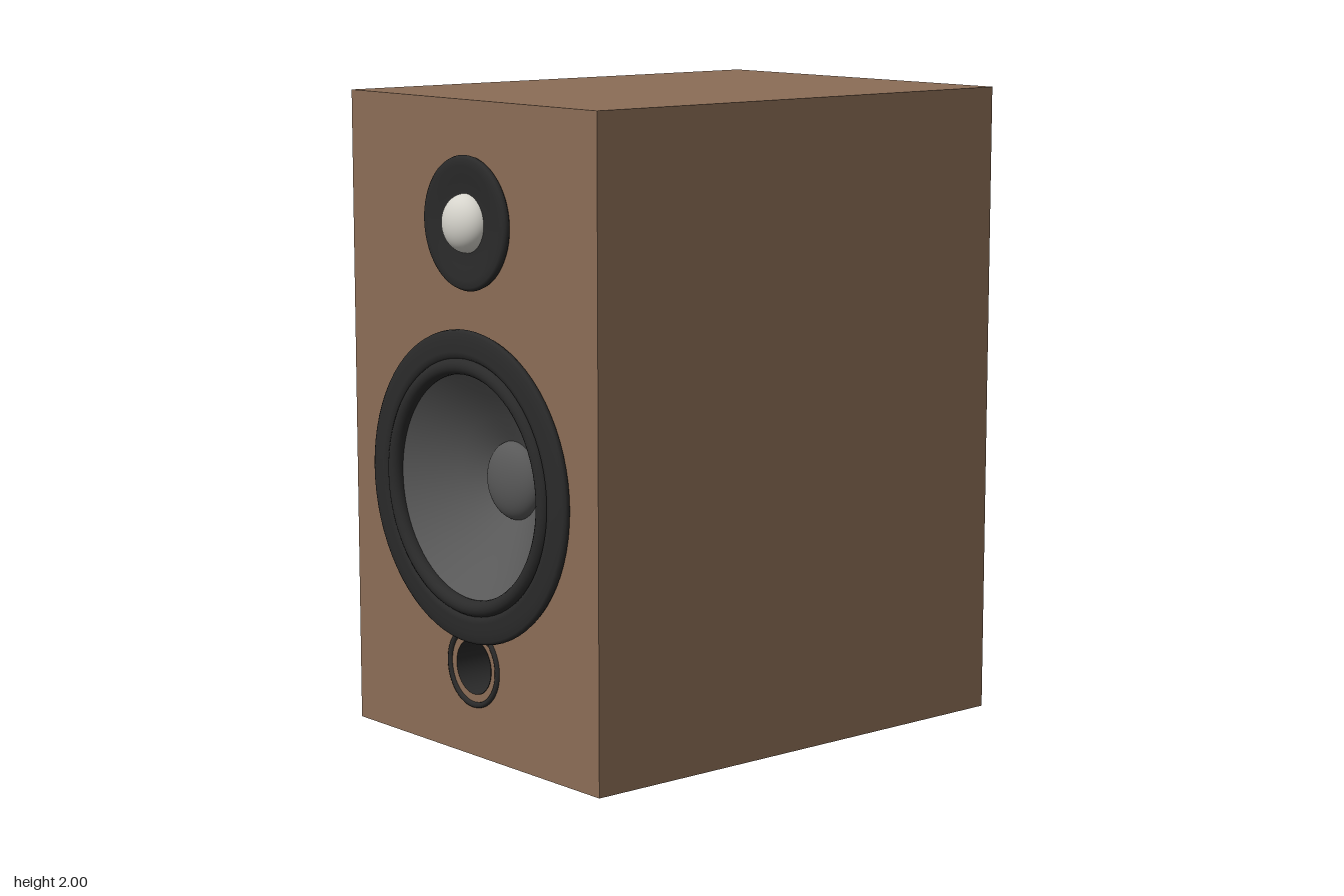
import * as THREE from 'three';

const mat = (name, color, side = THREE.FrontSide) => {
  const m = new THREE.MeshStandardMaterial({ color, side });
  m.name = name;
  return m;
};

export function createModel() {
  const wood = mat('walnut brown', 0x8b6d56);
  const black = mat('rubber black', 0x2a2a2a, THREE.DoubleSide);
  const grey = mat('cone grey', 0x595959, THREE.DoubleSide);
  const silver = mat('dome silver', 0xd6d4cc);

  const W = 0.59, BOTTOM = 0.03, TOP = 2, BACK = -0.825, FRONT = 0.753, T = 0.04;
  const WOOFER_Y = 0.853, TWEETER_Y = 1.64, PORT_Y = 0.305, PORT_R = 0.085;

  const model = new THREE.Group();
  model.name = 'bookshelfSpeaker';

  const add = (parent, name, geometry, material, x = 0, y = 0, z = 0) => {
    const mesh = new THREE.Mesh(geometry, material);
    mesh.name = name;
    mesh.position.set(x, y, z);
    parent.add(mesh);
    return mesh;
  };
  const lathe = (points, segments = 72) =>
    new THREE.LatheGeometry(points.map(([r, h]) => new THREE.Vector2(r, h)), segments);
  // Turned part whose axis points out of the front
  const turned = (points) => lathe(points).rotateX(Math.PI / 2);
  // Profile of a shallow dome, from rim to tip
  const domeProfile = (r, h) => Array.from({ length: 17 }, (_, i) => {
    const a = (i / 16) * Math.PI / 2;
    return [i === 16 ? 0 : r * Math.cos(a), h * Math.sin(a)];
  });

  // Cabinet: hollow shell of panels with a pierced front baffle
  const cabinet = new THREE.Group();
  cabinet.name = 'cabinet';
  model.add(cabinet);
  const baffle = new THREE.Shape([
    new THREE.Vector2(-W, BOTTOM), new THREE.Vector2(W, BOTTOM),
    new THREE.Vector2(W, TOP), new THREE.Vector2(-W, TOP),
  ]);
  for (const [y, r] of [[WOOFER_Y, 0.4], [PORT_Y, PORT_R]]) {
    baffle.holes.push(new THREE.Path().absarc(0, y, r, 0, Math.PI * 2, true));
  }
  add(cabinet, 'frontBaffle', new THREE.ExtrudeGeometry(baffle,
    { depth: T, bevelEnabled: false, curveSegments: 48 }), wood, 0, 0, FRONT - T);
  const depth = FRONT - T - BACK, midZ = BACK + depth / 2;
  const height = TOP - BOTTOM, midY = BOTTOM + height / 2;
  for (const s of [-1, 1]) {
    add(cabinet, s > 0 ? 'leftPanel' : 'rightPanel',
      new THREE.BoxGeometry(T, height, depth), wood, s * (W - T / 2), midY, midZ);
    add(cabinet, s > 0 ? 'topPanel' : 'bottomPanel',
      new THREE.BoxGeometry(2 * (W - T), T, depth), wood,
      0, midY + s * (height - T) / 2, midZ);
  }
  add(cabinet, 'backPanel', new THREE.BoxGeometry(2 * (W - T), height - 2 * T, T),
    wood, 0, midY, BACK + T / 2);

  // Woofer: frame, rolled surround, recessed cone and dust cap
  const woofer = new THREE.Group();
  woofer.name = 'woofer';
  woofer.position.set(0, WOOFER_Y, FRONT);
  model.add(woofer);
  add(woofer, 'wooferFrame', turned([
    [0.462, 0], [0.468, 0.005], [0.472, 0.013], [0.47, 0.021], [0.462, 0.026],
    [0.44, 0.029], [0.405, 0.031], [0.392, 0.029], [0.386, 0.022], [0.384, 0],
  ]), black);
  add(woofer, 'wooferSurround', new THREE.TorusGeometry(0.363, 0.025, 16, 72),
    black, 0, 0, 0.015);
  add(woofer, 'wooferCone', turned([
    [0.342, 0.01], [0.28, -0.045], [0.2, -0.107], [0.11, -0.165],
  ]), grey);
  add(woofer, 'dustCap', turned(domeProfile(0.12, 0.055)), grey, 0, 0, -0.162);

  // Tweeter: rounded faceplate and dome
  const tweeter = new THREE.Group();
  tweeter.name = 'tweeter';
  tweeter.position.set(0, TWEETER_Y, FRONT);
  model.add(tweeter);
  add(tweeter, 'tweeterPlate', turned([
    [0.192, 0], [0.198, 0.006], [0.2, 0.013], [0.197, 0.02], [0.19, 0.025],
    [0.17, 0.026], [0.13, 0.021], [0.09, 0.015], [0, 0.015],
  ]), black);
  add(tweeter, 'tweeterDome', turned(domeProfile(0.088, 0.063)), silver, 0, 0, 0.012);

  // Bass port: trim ring and open tube
  const port = new THREE.Group();
  port.name = 'bassPort';
  port.position.set(0, PORT_Y, FRONT);
  model.add(port);
  add(port, 'portRing', turned([
    [0.125, 0], [0.124, 0.006], [0.117, 0.009], [0.109, 0.006], [0.108, 0],
  ]), black);
  add(port, 'portTube', turned([[PORT_R - 0.001, 0.002], [PORT_R - 0.003, -0.5]]), black);

  // Four round feet
  const foot = lathe([
    [0, 0], [0.048, 0], [0.055, 0.003], [0.058, 0.009], [0.058, 0.025], [0.056, 0.031],
  ], 32);
  for (const x of [-0.46, 0.46]) {
    for (const z of [-0.628, 0.556]) add(model, 'foot', foot, black, x, 0, z);
  }
  return model;
}
